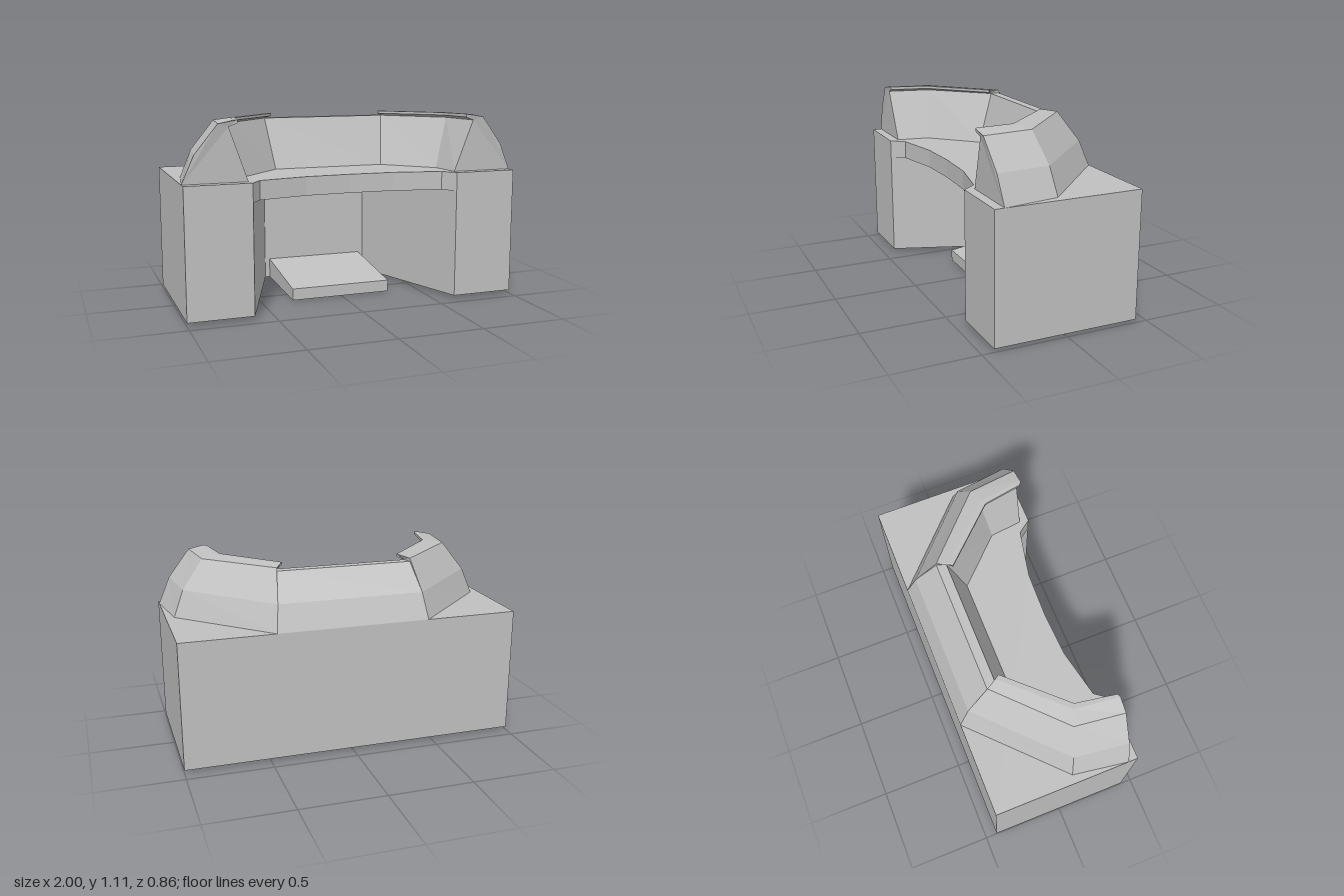
import * as THREE from 'three';

export function createModel() {
  const group = new THREE.Group();
  const grey = new THREE.MeshStandardMaterial({ color: 0xc0c0c0 });
  grey.name = 'consoleGrey';

  const add = (name, geometry) => {
    const mesh = new THREE.Mesh(geometry, grey);
    mesh.name = name;
    group.add(mesh);
  };

  // Upright prism over an outline of [x, z] points
  const prism = (outline, y0, y1) => {
    const shape = new THREE.Shape(outline.map(([x, z]) => new THREE.Vector2(x, -z)));
    return new THREE.ExtrudeGeometry(shape, { depth: y1 - y0, bevelEnabled: false })
      .rotateX(-Math.PI / 2).translate(0, y0, 0);
  };

  // Flat-faced skin through closed cross-sections, with optional end caps
  const loft = (sections, capped) => {
    const n = sections[0].length, last = (sections.length - 1) * n, index = [];
    for (let i = 0; i < sections.length - 1; i++) {
      for (let j = 0; j < n; j++) {
        const a = i * n + j, b = i * n + (j + 1) % n;
        index.push(a, b, b + n, a, b + n, a + n);
      }
    }
    if (capped) {
      const flat = (s) => s.map(([x, y]) => new THREE.Vector2(Math.abs(x), y));
      for (const [a, b, c] of THREE.ShapeUtils.triangulateShape(flat(sections[0]), [])) index.push(a, c, b);
      for (const [a, b, c] of THREE.ShapeUtils.triangulateShape(flat(sections.at(-1)), [])) index.push(last + a, last + b, last + c);
    }
    const indexed = new THREE.BufferGeometry();
    indexed.setAttribute('position', new THREE.Float32BufferAttribute(sections.flat(2), 3));
    indexed.setIndex(index);
    const geometry = indexed.toNonIndexed();
    geometry.computeVertexNormals();
    return geometry;
  };
  const mirror = (section) => section.map(([x, y, z]) => [-x, y, z]);

  // Desk top with a curved front cut-out
  const halfFront = [[1, 0.43], [0.62, 0.43], [0.56, 0.35], [0.27, 0.29]];
  add('deskTop', prism([
    [1, -0.43], ...halfFront, [0, 0.28],
    ...halfFront.map(([x, z]) => [-x, z]).reverse(), [-1, -0.43],
  ], 0.66, 0.77));

  // Wedge-shaped pedestals beside the leg space
  const pedestal = [[1, 0.43], [1, -0.43], [0.34, -0.43], [0.34, -0.38], [0.62, 0.43]];
  add('leftPedestal', prism(pedestal, 0.02, 0.66));
  add('rightPedestal', prism(pedestal.map(([x, z]) => [-x, z]), 0.02, 0.66));
  add('backPanel', new THREE.BoxGeometry(0.68, 0.64, 0.05).translate(0, 0.34, -0.405));

  // Sloping footrest
  const foot = new THREE.Shape([[0.38, 0.02], [0.38, 0.14], [-0.135, 0.07], [-0.135, 0]]
    .map(([x, y]) => new THREE.Vector2(x, y)));
  add('footrest', new THREE.ExtrudeGeometry(foot, { depth: 0.62, bevelEnabled: false })
    .rotateY(Math.PI / 2).translate(-0.31, 0, 0));

  // Middle of the raised hood
  const middle = [[0.45, 0.77, -0.43], [0.43, 0.92, -0.37], [0.4, 1.075, -0.24],
    [0.385, 1.075, -0.185], [0.345, 0.77, -0.085]];
  add('hoodMiddle', loft([mirror(middle), middle], false));

  // Side hoods: outer slope, top, overhanging lip, inner face
  const wing = [
    [[0.45, 0.77, -0.43], [0.43, 0.92, -0.37], [0.4, 1.094, -0.24], [0.37, 1.105, -0.175],
      [0.35, 1.105, -0.155], [0.35, 1.09, -0.155], [0.385, 1.075, -0.185], [0.345, 0.77, -0.085]],
    [[0.95, 0.77, 0.05], [0.89, 0.925, 0.07], [0.765, 1.094, 0.11], [0.68, 1.107, 0.145],
      [0.65, 1.107, 0.16], [0.65, 1.092, 0.16], [0.69, 1.075, 0.135], [0.605, 0.77, 0.18]],
    [[1, 0.77, 0.375], [0.93, 0.93, 0.385], [0.8, 1.094, 0.4], [0.71, 1.112, 0.405],
      [0.69, 1.112, 0.395], [0.69, 1.094, 0.395], [0.74, 1.075, 0.39], [0.63, 0.77, 0.375]],
  ];
  add('leftHood', loft(wing, true));
  add('rightHood', loft(wing.map(mirror).reverse(), true));

  return group;
}
